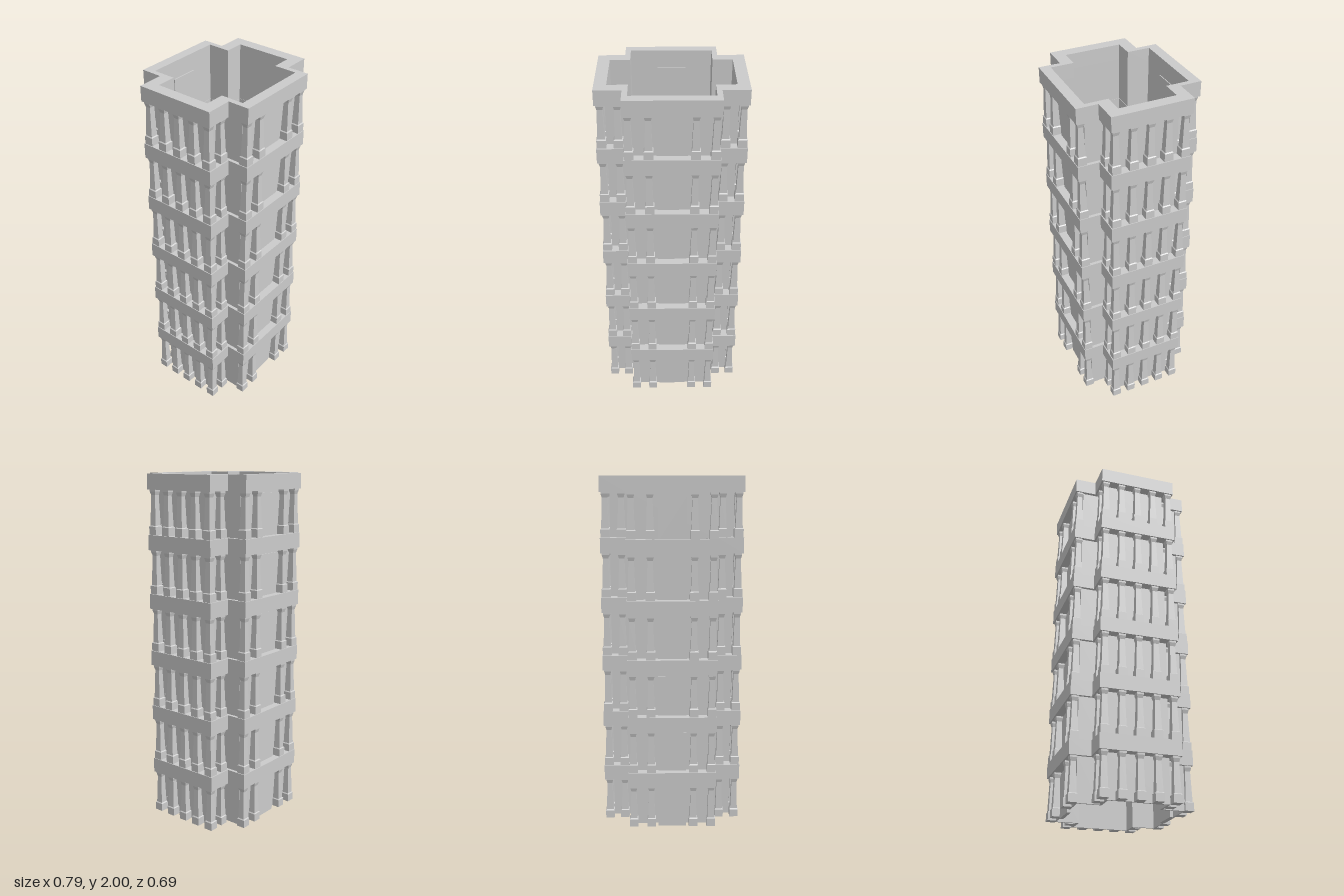
import * as THREE from 'three';

const FLOORS = 6;
const PITCH = 0.331;     // storey height
const BASE = 0.015;      // underside of the walls
const BAND_H = 0.085;
const STOREY_H = 0.246;  // clear height between bands

const material = new THREE.MeshStandardMaterial({ color: 0xcccccc, flatShading: true });

// Cross-shaped plan: wide wings in x, deep block in z
function cross(wingX, wingZ, blockX, blockZ, Kind = THREE.Shape) {
  const quarter = [[wingX, wingZ], [blockX, wingZ], [blockX, blockZ]];
  const flip = (sx, sz) => quarter.map(([x, z]) => new THREE.Vector2(x * sx, z * sz));
  return new Kind([
    ...flip(1, 1), ...flip(-1, 1).reverse(),
    ...flip(-1, -1), ...flip(1, -1).reverse(),
  ]);
}

// Hollow cross-shaped ring standing on y = 0
function ring(outer, inner, height) {
  const shape = cross(...outer);
  shape.holes.push(cross(...inner, THREE.Path));
  const geo = new THREE.ExtrudeGeometry(shape, { depth: height, bevelEnabled: false });
  return geo.rotateX(-Math.PI / 2);
}

// Square tapered column: plinth, slim shaft and flared capital
function columnGeometry() {
  const profile = [
    [0, 0], [0.025, 0], [0.025, 0.045], [0.02, 0.05],
    [0.0145, 0.215], [0.02, 0.235], [0.02, STOREY_H], [0, STOREY_H],
  ].map(([r, y]) => new THREE.Vector2(r * Math.SQRT2, y));
  return new THREE.LatheGeometry(profile, 4).rotateY(Math.PI / 4);
}

// Column centres around the plan
function columnSpots() {
  const spots = [];
  for (const sx of [1, -1]) {
    for (const sz of [1, -1]) {
      for (const x of [0.12, 0.222]) spots.push([x * sx, 0.317 * sz]);
      spots.push([0.278 * sx, 0.195 * sz]);
    }
    for (let i = -2; i <= 2; i++) spots.push([0.367 * sx, i * 0.0975]);
  }
  return spots;
}

export function createModel() {
  const tower = new THREE.Group();
  tower.name = 'tower';

  const add = (parent, geo, name, x = 0, y = 0, z = 0) => {
    const mesh = new THREE.Mesh(geo, material);
    mesh.name = name;
    mesh.position.set(x, y, z);
    parent.add(mesh);
  };

  const inner = [0.33, 0.159, 0.221, 0.288];
  const wall = ring([0.342, 0.171, 0.233, 0.296], inner, STOREY_H);
  const band = ring([0.395, 0.225, 0.25, 0.345], inner, BAND_H);
  const column = columnGeometry();
  const frontPanel = new THREE.BoxGeometry(0.16, 0.235, 0.029);
  const backPanel = new THREE.BoxGeometry(0.16, 0.245, 0.02);
  const spots = columnSpots();

  for (let i = 0; i < FLOORS; i++) {
    const storey = new THREE.Group();
    storey.name = 'storey' + (i + 1);
    storey.position.y = BASE + i * PITCH;
    tower.add(storey);

    add(storey, wall, 'wall');
    add(storey, band, 'corniceBand', 0, STOREY_H - 0.001);
    spots.forEach(([x, z]) => add(storey, column, 'column', x, 0, z));

    // Door panels, the back one reaching a little lower
    add(storey, frontPanel, 'frontPanel', 0, 0.1175, 0.2855);
    add(storey, backPanel, 'backPanel', 0, 0.1075, -0.293);
  }
  return tower;
}
